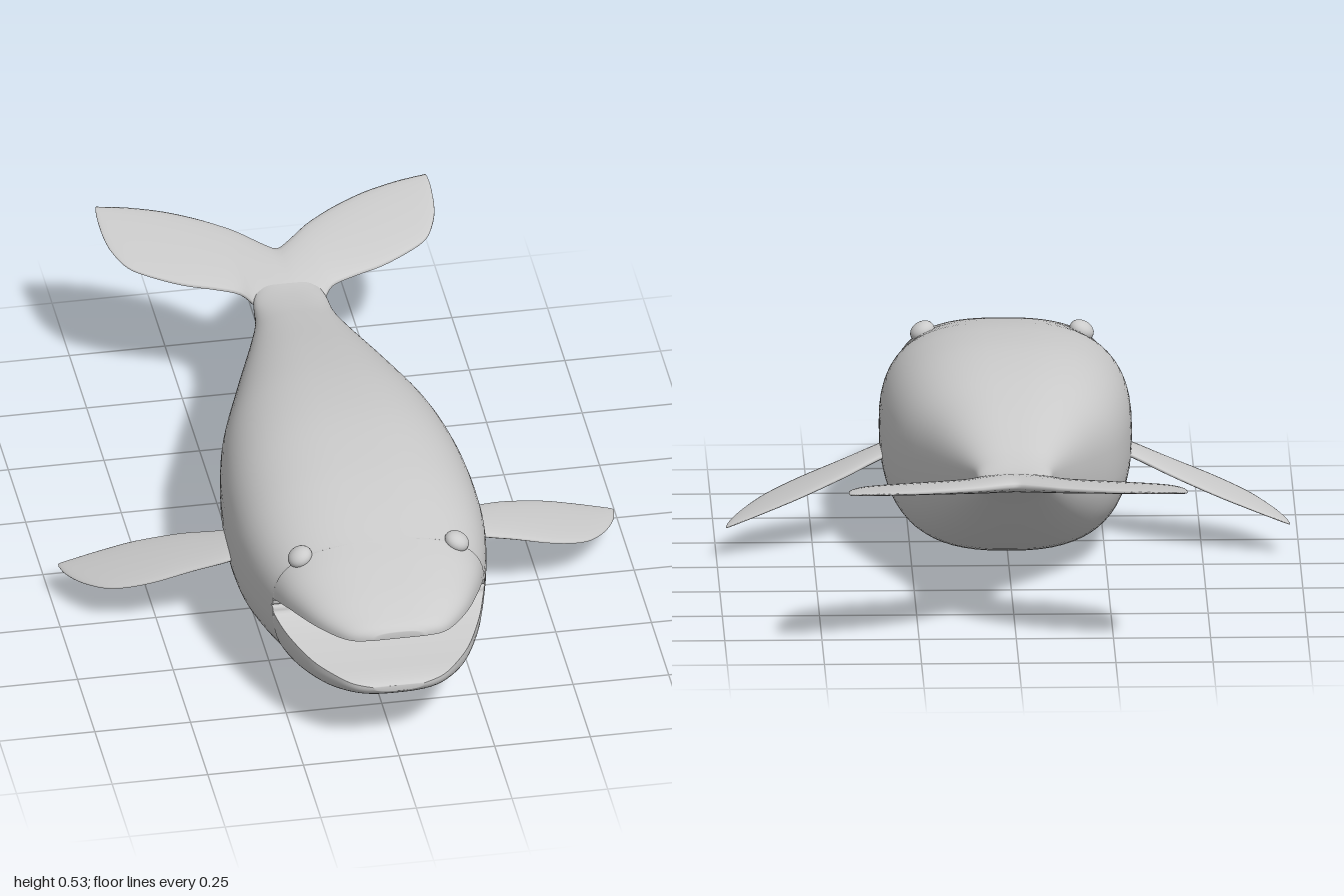
import * as THREE from 'three';
import { mergeGeometries, mergeVertices } from 'three/addons/utils/BufferGeometryUtils.js';

const grey = new THREE.MeshStandardMaterial({ color: 0xcccccc, roughness: 0.7 });

// Smoothly subdivides a table of cross-section rows, column by column.
function refine(rows, steps) {
  const curves = rows[0].map((_, c) => new THREE.SplineCurve(rows.map((r) => new THREE.Vector2(r[c], 0))));
  const count = (rows.length - 1) * steps;
  return Array.from({ length: count + 1 }, (_, i) => curves.map((k) => k.getPoint(i / count).x));
}

// Skins a list of rings, each an equal-length list of [x, y, z].
function loft(rings, flip = false) {
  const n = rings[0].length, index = [];
  for (let i = 0; i < rings.length - 1; i++) {
    for (let j = 0; j < n - 1; j++) {
      const a = i * n + j, b = a + n, c = b + 1, d = a + 1;
      if (flip) index.push(a, c, b, a, d, c);
      else index.push(a, b, c, a, c, d);
    }
  }
  const g = new THREE.BufferGeometry();
  g.setAttribute('position', new THREE.Float32BufferAttribute(rings.flat(2), 3));
  g.setIndex(index);
  return g;
}

function smooth(geometry) {
  const g = mergeVertices(geometry, 1e-5);
  g.computeVertexNormals();
  return g;
}

function addMesh(group, name, geometry) {
  const m = new THREE.Mesh(geometry, grey);
  m.name = name;
  group.add(m);
  return m;
}

// Body rows: z, half width, top, mouth ceiling, mouth floor, bottom
const MOUTH_ROW = 9, STEPS = 5, ARC = 32;
const bodyRows = [
  [-0.70, 0.04, 0.412, 0.40, 0.40, 0.388],
  [-0.60, 0.09, 0.412, 0.385, 0.385, 0.355],
  [-0.50, 0.105, 0.425, 0.37, 0.37, 0.305],
  [-0.40, 0.138, 0.446, 0.35, 0.35, 0.245],
  [-0.20, 0.215, 0.49, 0.31, 0.31, 0.13],
  [0.00, 0.285, 0.522, 0.28, 0.28, 0.045],
  [0.20, 0.318, 0.535, 0.275, 0.275, 0.005],
  [0.40, 0.325, 0.525, 0.28, 0.28, 0.02],
  [0.55, 0.31, 0.505, 0.295, 0.295, 0.047],
  [0.69, 0.28, 0.478, 0.305, 0.305, 0.08],
  [0.71, 0.273, 0.474, 0.328, 0.282, 0.085],
  [0.78, 0.25, 0.46, 0.345, 0.26, 0.103],
  [0.88, 0.205, 0.435, 0.355, 0.243, 0.137],
  [0.95, 0.155, 0.412, 0.357, 0.235, 0.168],
  [0.985, 0.115, 0.397, 0.36, 0.228, 0.19],
  [1.00, 0.065, 0.383, 0.365, 0.22, 0.205],
];

// Each half runs from the tail to the jaw tip, then back along the mouth lining.
function bodyHalf(upper) {
  const rows = refine(bodyRows, STEPS), start = MOUTH_ROW * STEPS;
  const ring = ([z, w, top, ceil, floor, bottom], i, lining) => {
    if (i <= start) ceil = floor = (ceil + floor) / 2;
    const base = upper ? ceil : floor, edge = upper ? top : bottom;
    return Array.from({ length: ARC + 1 }, (_, j) => {
      const a = (j / ARC) * Math.PI, c = Math.cos(a);
      const x = w * Math.sign(c) * Math.abs(c) ** 0.78;
      const rise = j === 0 || j === ARC ? 0 : Math.sin(a) ** 0.78;
      return [x, lining ? base : base + (edge - base) * rise, z];
    });
  };
  const outer = rows.map((r, i) => ring(r, i, false));
  const inner = rows.map((r, i) => ring(r, i, true)).slice(start).reverse();
  return loft([...outer, ...inner], upper);
}

// Lens-section blade; rows: x, leading z, trailing z, thickness
function blade(rows, height, side = 1) {
  const rings = refine(rows, 4).map(([x, lead, trail, thick]) =>
    Array.from({ length: 21 }, (_, j) => {
      const a = ((j % 20) / 20) * Math.PI * 2;
      const z = (lead + trail) / 2 + (Math.cos(a) * (lead - trail)) / 2;
      return [x * side, height(x, z) + (Math.sin(a) * thick) / 2, z];
    }));
  return smooth(loft(rings, side < 0));
}

const flukeRows = [
  [0, -0.52, -0.78, 0.046],
  [0.03, -0.53, -0.80, 0.045],
  [0.085, -0.57, -0.853, 0.038],
  [0.12, -0.622, -0.88, 0.033],
  [0.18, -0.65, -0.918, 0.028],
  [0.26, -0.678, -0.957, 0.023],
  [0.34, -0.722, -0.983, 0.018],
  [0.39, -0.762, -0.994, 0.014],
  [0.42, -0.825, -0.999, 0.01],
  [0.432, -0.88, -0.998, 0.006],
  [0.436, -0.94, -0.965, 0.001],
];

const finRows = [
  [0.25, 0.37, 0.25, 0.026],
  [0.33, 0.366, 0.22, 0.025],
  [0.42, 0.345, 0.165, 0.023],
  [0.53, 0.323, 0.118, 0.02],
  [0.62, 0.28, 0.097, 0.017],
  [0.68, 0.21, 0.087, 0.013],
  [0.715, 0.14, 0.082, 0.008],
  [0.726, 0.095, 0.082, 0.001],
];

export function createModel() {
  const model = new THREE.Group();
  model.name = 'whale';

  // Body with open jaws
  addMesh(model, 'body', smooth(mergeGeometries([bodyHalf(true), bodyHalf(false)])));

  // Tail fluke, rising slightly toward the rear
  const mirrored = flukeRows.slice(1).reverse().map(([x, ...rest]) => [-x, ...rest]);
  addMesh(model, 'tailFluke', blade([...mirrored, ...flukeRows], (x, z) => 0.385 + 0.17 * (-z - 0.6)));

  // Side fins and eyes
  for (const [side, label] of [[1, 'left'], [-1, 'right']]) {
    addMesh(model, label + 'Fin', blade(finRows, (x) => 0.235 - 0.365 * (x - 0.32), side));
    const eye = addMesh(model, label + 'Eye', new THREE.SphereGeometry(0.033, 20, 14));
    eye.scale.y = 0.75;
    eye.position.set(0.205 * side, 0.447, 0.70);
    eye.rotation.z = -0.5 * side;
  }
  return model;
}
